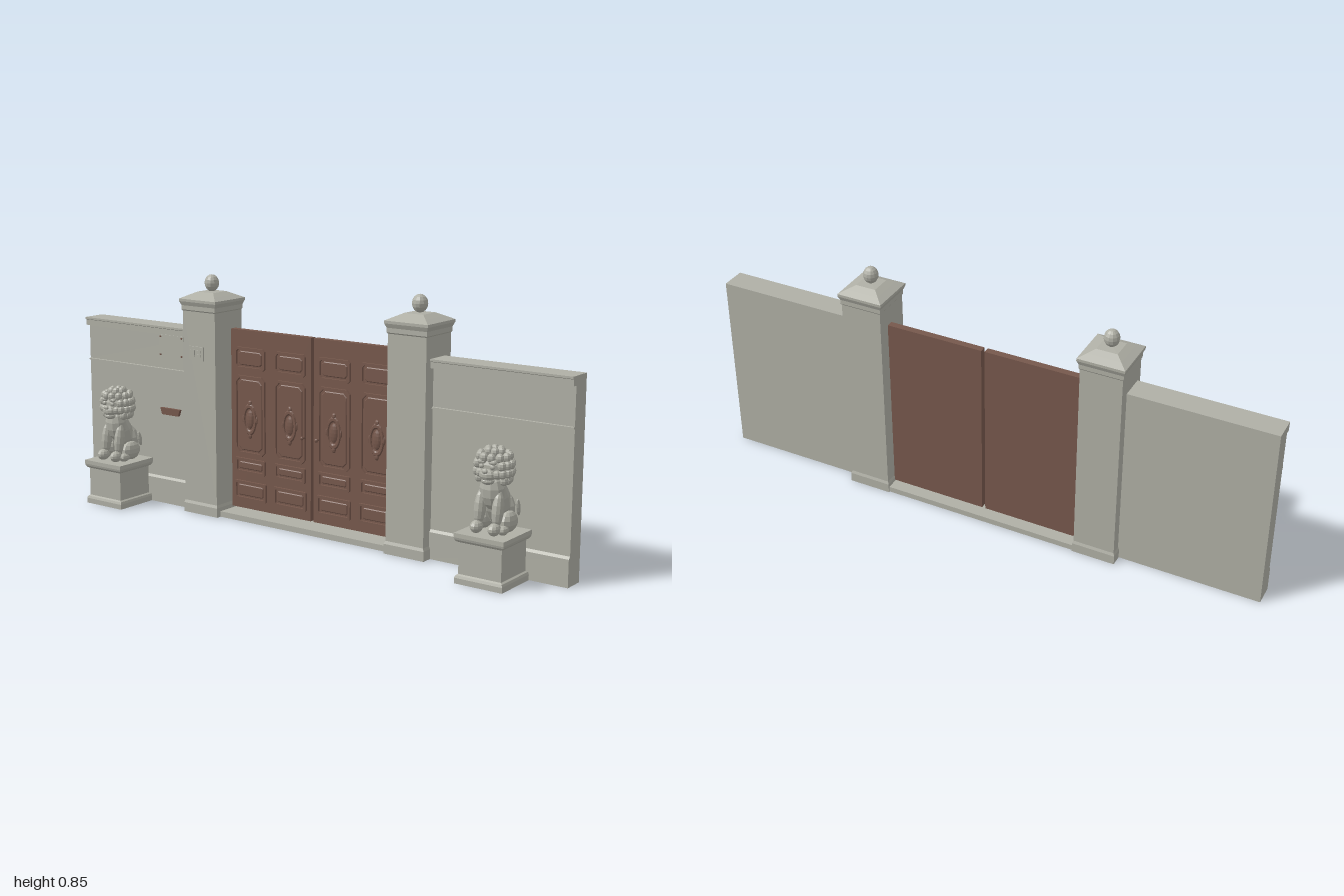
import * as THREE from 'three';

const mat = (name, color) => {
  const m = new THREE.MeshStandardMaterial({ color, flatShading: true });
  m.name = name;
  return m;
};

export function createModel() {
  const stone = mat('stone', 0xafafa5);
  const wood = mat('wood', 0x76584c);
  const root = new THREE.Group();
  root.name = 'gateway';

  const group = (name, parent = root) => {
    const g = new THREE.Group();
    g.name = name;
    parent.add(g);
    return g;
  };
  const add = (parent, name, geo, m, x = 0, y = 0, z = 0) => {
    const mesh = new THREE.Mesh(geo, m);
    mesh.name = name;
    mesh.position.set(x, y, z);
    parent.add(mesh);
    return mesh;
  };
  // box given by its limits
  const box = (parent, name, m, x0, x1, y0, y1, z0, z1) =>
    add(parent, name, new THREE.BoxGeometry(x1 - x0, y1 - y0, z1 - z0), m,
      (x0 + x1) / 2, (y0 + y1) / 2, (z0 + z1) / 2);
  // ellipsoid given by centre and radii
  const blob = (parent, name, m, [x, y, z], [rx, ry, rz], tilt = 0, seg = 10, rings = 7) => {
    const mesh = add(parent, name, new THREE.SphereGeometry(1, seg, rings), m, x, y, z);
    mesh.scale.set(rx, ry, rz);
    mesh.rotation.x = tilt;
    return mesh;
  };
  // square turned profile: pairs of half width and height
  const squareLathe = (profile) => {
    const pts = profile.map(([r, y]) => new THREE.Vector2(r * Math.SQRT2, y));
    return new THREE.LatheGeometry(pts, 4).rotateY(Math.PI / 4);
  };

  // Side walls: one moulded section (z, y) run along x
  const section = [[-0.098, 0], [-0.025, 0], [-0.025, 0.09], [-0.033, 0.098], [-0.033, 0.493],
    [-0.027, 0.494], [-0.027, 0.499], [-0.033, 0.5], [-0.033, 0.624], [-0.015, 0.626],
    [-0.015, 0.646], [-0.012, 0.648], [-0.012, 0.655], [-0.098, 0.655]];
  const wallShape = new THREE.Shape(section.map(([z, y]) => new THREE.Vector2(-z, y)));
  const wallGeo = new THREE.ExtrudeGeometry(wallShape, { depth: 0.52, bevelEnabled: false });
  wallGeo.rotateY(Math.PI / 2);
  add(root, 'leftWall', wallGeo, stone, 0.48);
  add(root, 'rightWall', wallGeo, stone, -1);

  // Gate pillars with moulded caps and ball finials
  const pillarGeo = squareLathe([[0, 0], [0.0765, 0], [0.0765, 0.033], [0.0725, 0.043],
    [0.0725, 0.725], [0.0755, 0.729], [0.0755, 0.744], [0.079, 0.752], [0.0815, 0.758],
    [0.0815, 0.767], [0.058, 0.779], [0.036, 0.79], [0, 0.792]]);
  for (const s of [1, -1]) {
    const pillar = group(s > 0 ? 'leftPillar' : 'rightPillar');
    pillar.position.set(s * 0.43, 0, -0.0625);
    add(pillar, 'shaft', pillarGeo, stone);
    blob(pillar, 'ballFinial', stone, [0, 0.82, 0], [0.026, 0.03, 0.026], 0, 12, 8);
  }

  // Threshold
  box(root, 'threshold', stone, -0.37, 0.37, 0, 0.02, -0.134, -0.005);

  // Door parts
  const rectangle = (P, w, h, cut) => new P([[-w / 2, -h / 2], [w / 2, -h / 2], [w / 2, h / 2], [-w / 2, h / 2]]
    .flatMap(([x, y]) => [
      new THREE.Vector2(x - Math.sign(x) * cut * (x * y > 0 ? 1 : 0), y - Math.sign(y) * cut * (x * y > 0 ? 0 : 1)),
      new THREE.Vector2(x - Math.sign(x) * cut * (x * y > 0 ? 0 : 1), y - Math.sign(y) * cut * (x * y > 0 ? 1 : 0)),
    ].reverse()));
  const FACE = -0.072;
  const panel = (parent, x, y0, y1, w, cut) => {
    const h = y1 - y0, y = (y0 + y1) / 2;
    const frame = rectangle(THREE.Shape, w, h, cut);
    frame.holes.push(rectangle(THREE.Path, w - 0.016, h - 0.016, cut));
    add(parent, 'panelFrame', new THREE.ExtrudeGeometry(frame, { depth: 0.008, bevelEnabled: false }), wood, x, y, FACE);
    const field = rectangle(THREE.Shape, w - 0.036, h - 0.034, cut * 0.8);
    add(parent, 'raisedField', new THREE.ExtrudeGeometry(field,
      { depth: 0.002, bevelSize: 0.003, bevelThickness: 0.002, bevelSegments: 1 }), wood, x, y, FACE);
  };
  const ornament = (parent, x, y) => {
    const ring = add(parent, 'ovalMoulding', new THREE.TorusGeometry(0.025, 0.005, 6, 20), wood, x, y, FACE + 0.005);
    ring.scale.set(1, 1.9, 1);
    blob(parent, 'ovalBoss', wood, [x, y, FACE + 0.003], [0.016, 0.034, 0.008], 0, 12, 8);
    for (const s of [1, -1]) {
      blob(parent, 'ovalFinial', wood, [x, y + s * 0.057, FACE + 0.004], [0.009, 0.012, 0.006], 0, 8, 6);
      blob(parent, 'ovalSideLeaf', wood, [x + s * 0.029, y, FACE + 0.004], [0.005, 0.014, 0.005], 0, 8, 6);
    }
  };

  // Two door leaves
  for (const s of [1, -1]) {
    const leaf = group(s > 0 ? 'leftDoor' : 'rightDoor');
    box(leaf, 'slab', wood, Math.min(s * 0.006, s * 0.353), Math.max(s * 0.006, s * 0.353), 0.027, 0.665, -0.096, FACE);
    for (const x of [s * 0.093, s * 0.267]) {
      panel(leaf, x, 0.528, 0.605, 0.132, 0.008);
      panel(leaf, x, 0.225, 0.505, 0.132, 0.014);
      panel(leaf, x, 0.157, 0.21, 0.132, 0.003);
      panel(leaf, x, 0.06, 0.127, 0.14, 0.003);
      ornament(leaf, x, 0.352);
    }
    const stem = add(leaf, 'knobStem', new THREE.CylinderGeometry(0.004, 0.004, 0.02, 8), wood, s * 0.03, 0.32, -0.064);
    stem.rotation.x = Math.PI / 2;
    blob(leaf, 'knob', wood, [s * 0.03, 0.32, -0.053], [0.007, 0.007, 0.006], 0, 8, 6);
  }

  // Letter slot, name plate and intercom on the right-hand side
  const slot = new THREE.Shape([[-0.038, -0.012], [0.038, -0.012], [0.046, 0.012], [-0.046, 0.012]]
    .map(p => new THREE.Vector2(...p)));
  add(root, 'letterSlot', new THREE.ExtrudeGeometry(slot, { depth: 0.012, bevelEnabled: false }), wood, -0.6, 0.344, -0.034);
  box(root, 'namePlate', stone, -0.652, -0.538, 0.543, 0.622, -0.033, -0.03);
  for (const x of [-0.645, -0.545]) for (const y of [0.55, 0.615]) {
    const screw = add(root, 'plateScrew', new THREE.CylinderGeometry(0.003, 0.003, 0.006, 8), wood, x, y, -0.029);
    screw.rotation.x = Math.PI / 2;
  }
  const intercom = group('intercom');
  box(intercom, 'backPlate', stone, -0.465, -0.4, 0.557, 0.605, 0.019, 0.024);
  box(intercom, 'speaker', stone, -0.457, -0.438, 0.568, 0.594, 0.024, 0.027);
  for (const y of [0.574, 0.588]) box(intercom, 'button', stone, -0.428, -0.41, y - 0.004, y + 0.004, 0.024, 0.027);

  // Pedestal with guardian lion
  const pedestalGeo = squareLathe([[0, 0], [0.084, 0], [0.084, 0.018], [0.081, 0.026], [0.075, 0.03],
    [0.075, 0.131], [0.081, 0.134], [0.085, 0.14], [0.087, 0.147], [0.087, 0.161], [0, 0.161]]);
  for (const s of [1, -1]) {
    const statue = group(s > 0 ? 'leftLion' : 'rightLion');
    statue.position.x = s * 0.782;
    add(statue, 'pedestal', pedestalGeo, stone, 0, 0, 0.0565);
    const part = (name, c, r, tilt, seg, rings) => blob(statue, name, stone, c, r, tilt, seg, rings);

    // Body
    part('torso', [0, 0.255, 0.04], [0.046, 0.085, 0.042], 0.3);
    part('rump', [0, 0.225, 0.015], [0.05, 0.062, 0.039], 0);
    part('chest', [0, 0.29, 0.066], [0.042, 0.06, 0.036], 0.1);
    part('tail', [0, 0.24, -0.015], [0.012, 0.03, 0.01], 0, 8, 6);
    for (const k of [1, -1]) {
      part('haunch', [k * 0.042, 0.195, 0.037], [0.024, 0.034, 0.043], 0);
      part('hindPaw', [k * 0.047, 0.176, 0.077], [0.016, 0.015, 0.025], 0, 8, 6);
      part('foreleg', [k * 0.031, 0.24, 0.084], [0.018, 0.058, 0.021], -0.15);
      part('forePaw', [k * 0.031, 0.182, 0.103], [0.019, 0.02, 0.026], 0);
      part('flankCurl', [k * 0.056, 0.235, 0.004], [0.007, 0.028, 0.009], 0.2, 8, 6);
    }

    // Head and face
    part('head', [0, 0.366, 0.06], [0.046, 0.05, 0.046], 0);
    part('muzzle', [0, 0.347, 0.1], [0.027, 0.02, 0.019], 0);
    part('jaw', [0, 0.328, 0.096], [0.022, 0.012, 0.019], 0);
    part('nose', [0, 0.361, 0.116], [0.011, 0.008, 0.007], 0, 8, 6);
    for (const k of [1, -1]) {
      part('eye', [k * 0.019, 0.374, 0.103], [0.009, 0.008, 0.007], 0, 8, 6);
      part('brow', [k * 0.019, 0.388, 0.102], [0.015, 0.008, 0.01], 0, 8, 6);
      part('cheek', [k * 0.029, 0.35, 0.093], [0.013, 0.014, 0.014], 0, 8, 6);
    }

    // Mane curls in rings, leaving the face open: height, radius, count, face half angle
    const rings = [[0.414, 0.022, 6, 0], [0.4, 0.045, 11, 0], [0.376, 0.052, 12, 0.75],
      [0.352, 0.053, 12, 0.8], [0.329, 0.046, 10, 1]];
    rings.forEach(([y, r, n, open], row) => {
      for (let i = 0; i < n; i++) {
        const a = open + (i + 0.5) / n * 2 * (Math.PI - open);
        part('maneCurl' + row, [Math.sin(a) * r, y, 0.057 + Math.cos(a) * r], [0.0135, 0.0155, 0.0135], 0, 8, 6);
      }
    });
  }
  return root;
}
